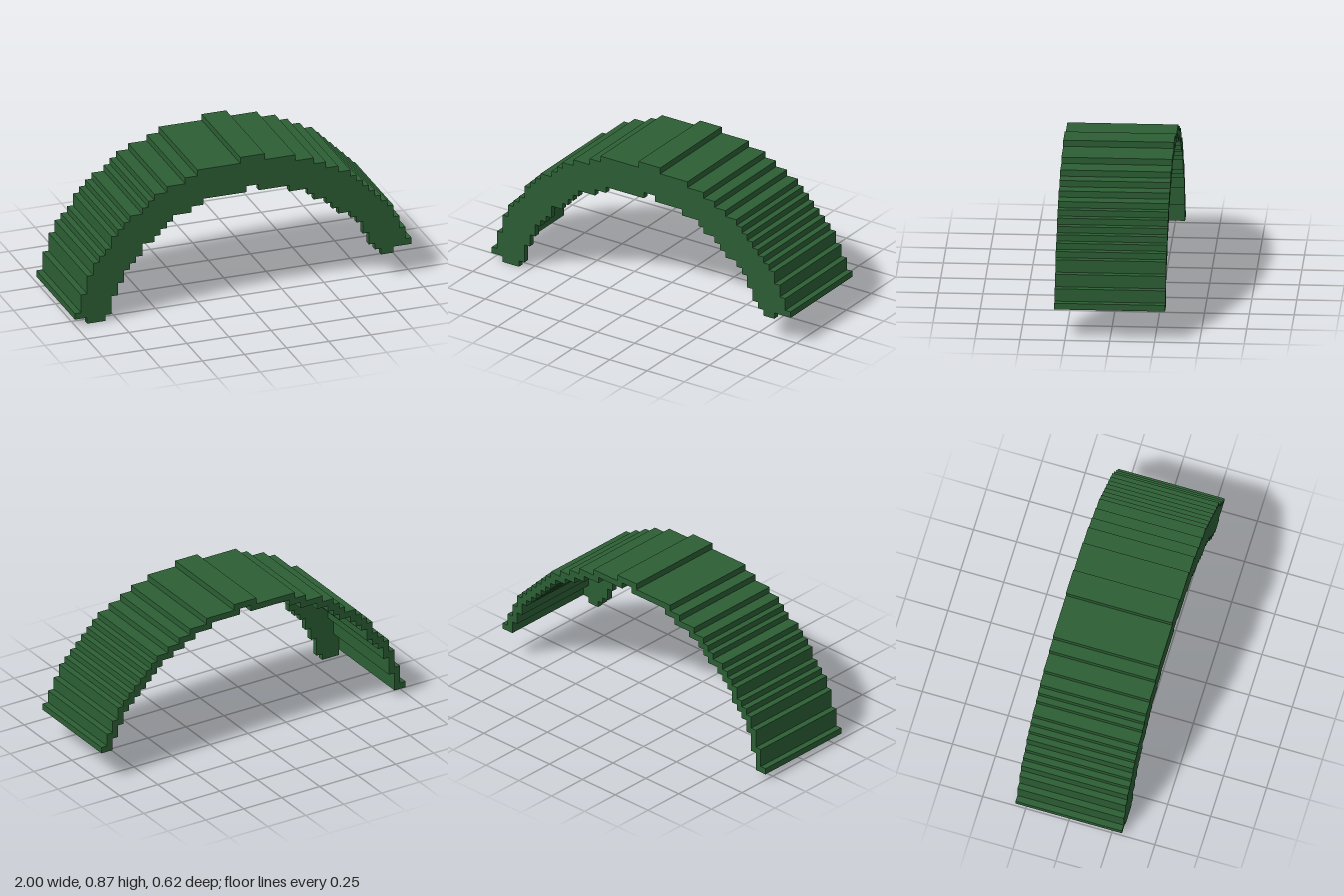
import * as THREE from 'three';

const U = 2 / 55;      // size of one block
const DEPTH = 17;      // arch depth in blocks

// [number of columns, height in blocks], from -x to +x
const TOP = [[1, 2], [1, 5], [1, 8], [1, 10], [1, 11], [1, 12], [1, 14], [1, 15], [1, 16], [2, 17],
  [1, 18], [1, 19], [2, 20], [3, 21], [2, 22], [7, 23], [4, 24], [5, 23], [3, 22], [2, 21], [2, 20],
  [2, 19], [1, 18], [1, 17], [1, 16], [1, 15], [1, 14], [1, 13], [1, 12], [1, 10], [1, 8], [1, 6]];
const RIB_BOTTOM = [[2, 1], [3, 0], [1, 1], [1, 4], [1, 6], [1, 8], [1, 9], [1, 10], [2, 12], [1, 13],
  [1, 14], [1, 15], [3, 16], [2, 17], [7, 18], [2, 19], [5, 18], [3, 17], [1, 16], [2, 15], [1, 14],
  [1, 13], [2, 12], [1, 11], [1, 10], [1, 8], [1, 6], [1, 5], [2, 4], [3, 5]];

const expand = (runs) => runs.flatMap(([n, h]) => Array(n).fill(h));

// Stepped outline of a row of column heights
function steps(heights) {
  const pts = [];
  heights.forEach((h, i) => {
    if (h !== heights[i - 1]) pts.push(new THREE.Vector2(i * U - 1, h * U));
    if (h !== heights[i + 1]) pts.push(new THREE.Vector2((i + 1) * U - 1, h * U));
  });
  return pts;
}

// Extrude the band between two stepped outlines from block z0 to z1
function band(name, bottom, top, z0, z1, material) {
  const shape = new THREE.Shape([...steps(bottom), ...steps(top).reverse()]);
  const geo = new THREE.ExtrudeGeometry(shape, { depth: (z1 - z0) * U, bevelEnabled: false });
  geo.translate(0, 0, (z0 - DEPTH / 2) * U);
  const mesh = new THREE.Mesh(geo, material);
  mesh.name = name;
  return mesh;
}

export function createModel() {
  const green = new THREE.MeshStandardMaterial({ color: 0x2c5e34 });
  green.name = 'dark green';

  const top = expand(TOP);
  const ribBottom = expand(RIB_BOTTOM);
  // The roof is one block thick and overlaps its lower neighbour by one block
  const roofBottom = top.map((h, i) => Math.min(h, top[i < 29 ? i - 1 : i + 1] ?? h) - 1);

  const group = new THREE.Group();
  group.name = 'steppedArch';
  group.add(band('archRoof', roofBottom, top, 0, DEPTH - 1, green));
  group.add(band('frontRib', ribBottom, top, DEPTH - 1, DEPTH, green));
  return group;
}
